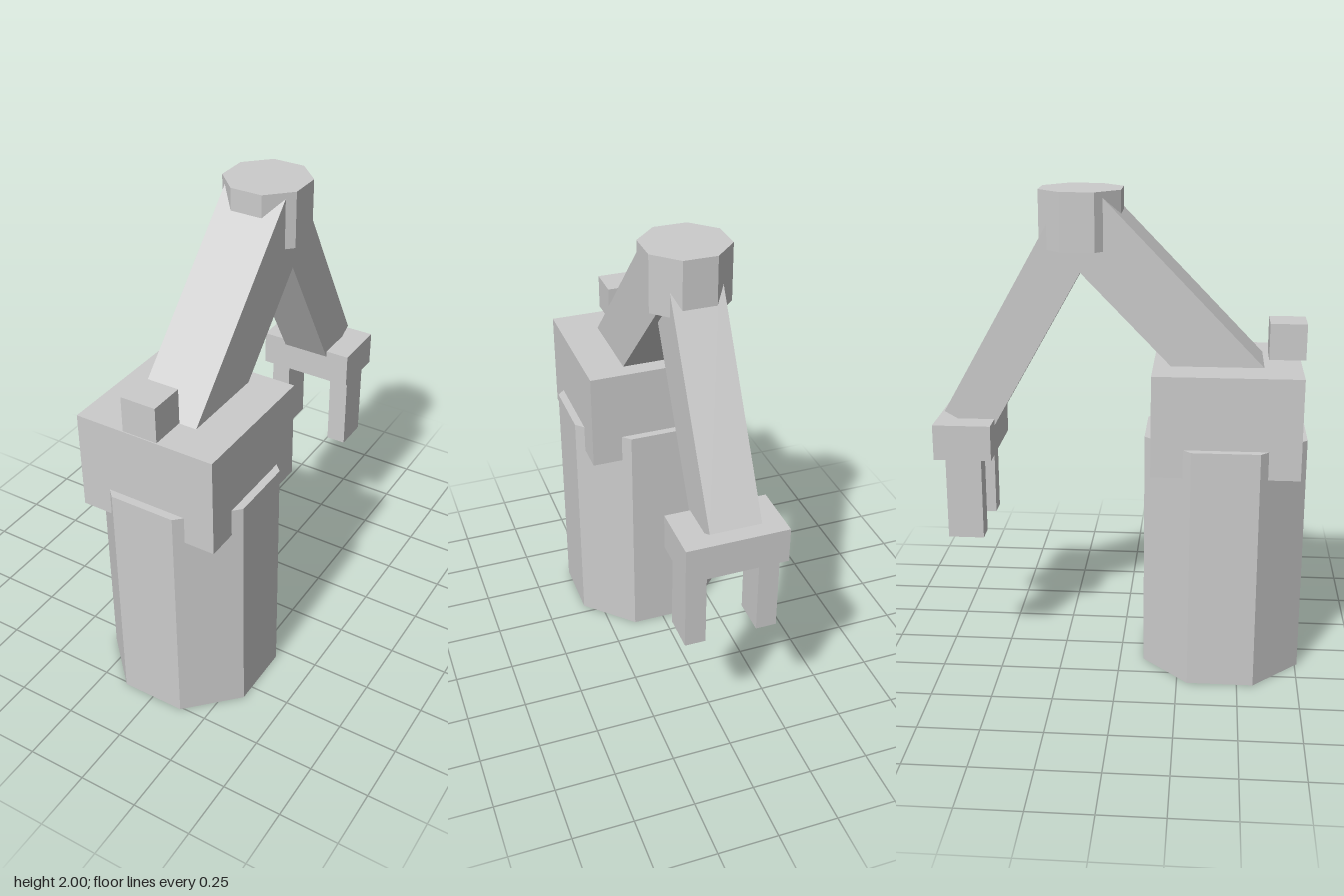
import * as THREE from 'three';

const material = new THREE.MeshStandardMaterial({ color: 0xcccccc, flatShading: true });

export function createModel() {
  const model = new THREE.Group();
  model.name = 'robotArm';

  function add(name, geometry, x, y, z) {
    const mesh = new THREE.Mesh(geometry, material);
    mesh.name = name;
    mesh.position.set(x, y, z);
    model.add(mesh);
    return mesh;
  }

  const box = (name, w, h, d, x, y, z) =>
    add(name, new THREE.BoxGeometry(w, h, d), x, y, z);

  // Octagonal prism with its flat sides facing the axes
  function octagon(name, apothem, h, y, z) {
    const r = apothem / Math.cos(Math.PI / 8);
    return add(name, new THREE.CylinderGeometry(r, r, h, 8, 1, false, Math.PI / 8), 0, y, z);
  }

  // Square beam between two points in the x = 0 plane
  function beam(name, width, from, to) {
    const direction = to.clone().sub(from);
    const middle = from.clone().add(to).multiplyScalar(0.5);
    const mesh = box(name, width, direction.length(), width, middle.x, middle.y, middle.z);
    mesh.rotation.x = Math.atan2(direction.z, direction.y);
  }

  // Pedestal, shoulder block and control knob
  octagon('pedestal', 0.33, 1.015, 0.5075, 0.43);
  box('shoulder', 0.595, 0.415, 0.595, 0, 1.105, 0.43);
  box('controlBlock', 0.148, 0.148, 0.148, 0, 1.405, 0.67);

  // Both arm segments meet at the elbow centre
  const elbow = new THREE.Vector3(0, 1.884, -0.165);
  beam('upperArm', 0.268, new THREE.Vector3(0, 1.15, 0.547), elbow);
  octagon('elbow', 0.164, 0.232, 1.884, -0.165);
  beam('forearm', 0.208, elbow, new THREE.Vector3(0, 1.043, -0.64));

  // Gripper
  box('gripperPlate', 0.416, 0.148, 0.238, 0, 0.99, -0.643);
  for (const side of [-1, 1]) {
    box(side > 0 ? 'leftFinger' : 'rightFinger', 0.085, 0.35, 0.148, side * 0.149, 0.745, -0.643);
  }

  return model;
}
